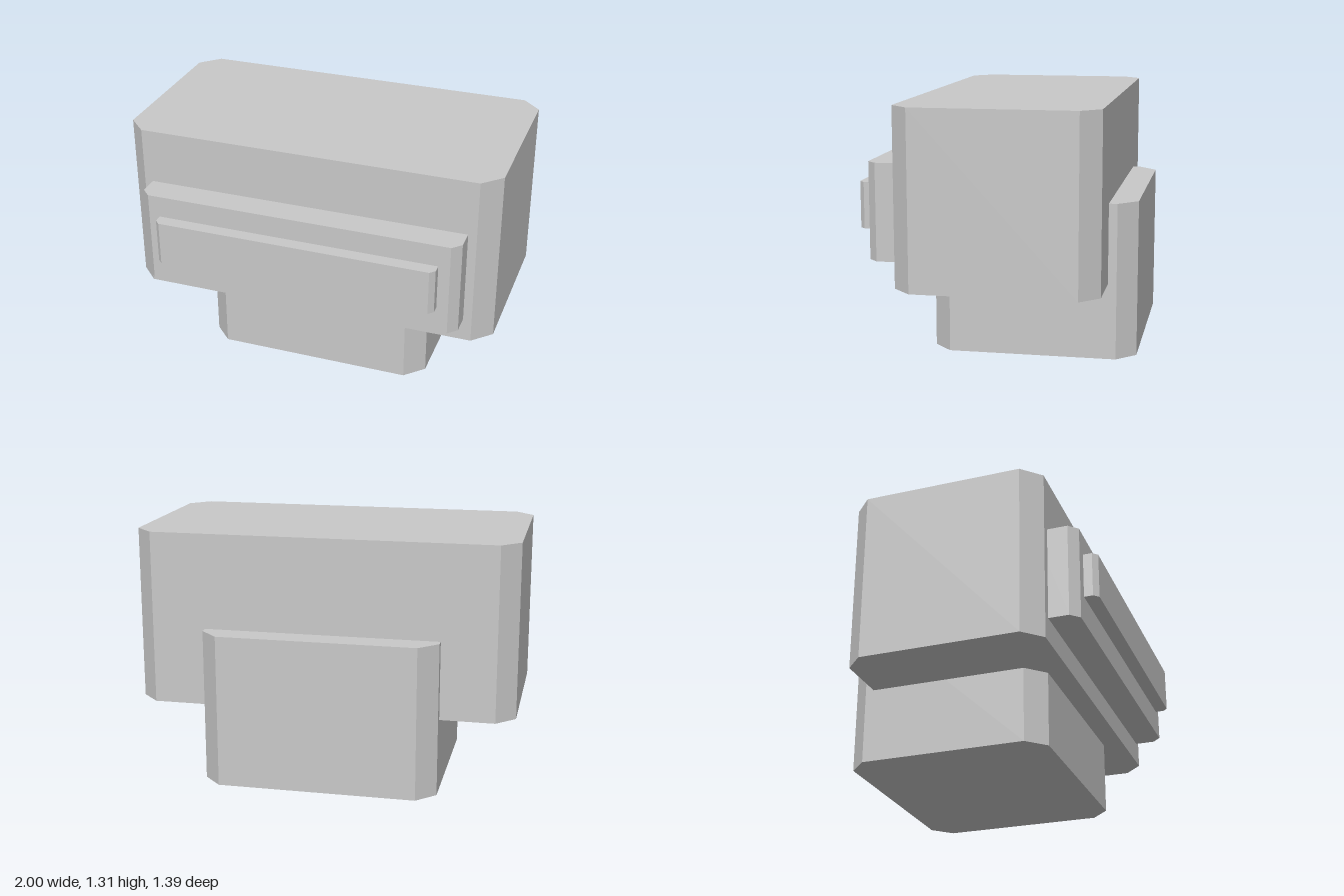
import * as THREE from 'three';

const grey = new THREE.MeshStandardMaterial({ color: 0xc8c8c8 });
grey.name = 'light grey';

// Upright block with chamfered vertical corners
function block(name, halfWidth, bottom, top, back, front, chamfer) {
  const w = halfWidth, c = chamfer;
  const outline = new THREE.Shape([
    [-w + c, -front], [w - c, -front], [w, -front + c], [w, -back - c],
    [w - c, -back], [-w + c, -back], [-w, -back - c], [-w, -front + c],
  ].map(([x, y]) => new THREE.Vector2(x, y)));
  const geometry = new THREE.ExtrudeGeometry(outline, { depth: top - bottom, bevelEnabled: false });
  geometry.rotateX(-Math.PI / 2); // shape y becomes -z, depth becomes height
  geometry.translate(0, bottom, 0);
  const mesh = new THREE.Mesh(geometry, grey);
  mesh.name = name;
  return mesh;
}

export function createModel() {
  const model = new THREE.Group();
  model.name = 'blockHead';
  model.add(
    block('head', 1, 0.393, 1.308, -0.556, 0.474, 0.097),
    // Neck rises behind the head
    block('neck', 0.618, 0, 0.806, -0.697, 0.363, 0.097),
    // Stepped face plates
    block('facePanel', 0.858, 0.517, 1.016, 0.36, 0.626, 0.046),
    block('visor', 0.752, 0.661, 0.9, 0.56, 0.698, 0.026),
  );
  return model;
}
